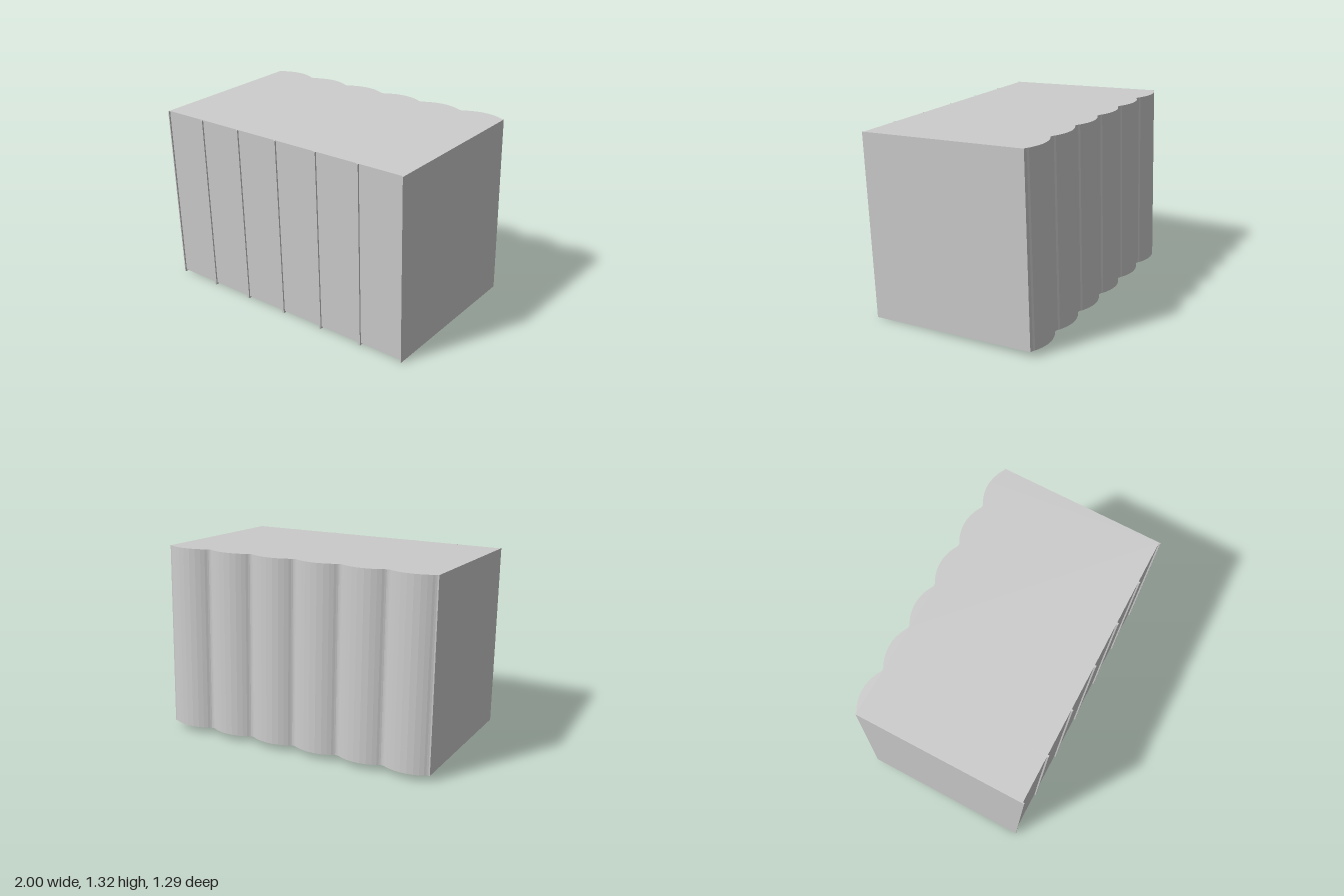
import * as THREE from 'three';

const COUNT = 6, WIDTH = 1.985, HEIGHT = 1.28;
const FRONT = 0.59, BACK = -0.59;
const PITCH = WIDTH / COUNT, BOARD = 0.0075, LIP = 0.014, INSET = 0.011;

// One rounded spine: [position across the spine from -1 to 1, outward bulge]
const half = [[1, 0], [0.94, 0.001], [0.87, 0.006], [0.79, 0.014], [0.62, 0.026], [0.4, 0.037], [0.14, 0.044]];
const profile = [...half.map(([u, h]) => [-u, h]), ...half.slice().reverse()];

// Wavy back line from left to right; shape y points to the back
function spineLine(inset) {
  const points = [];
  for (let i = 0; i < COUNT; i++) {
    const centre = -WIDTH / 2 + PITCH * (i + 0.5);
    profile.forEach(([u, h], k) => {
      if (i > 0 && k === 0) return;
      points.push(new THREE.Vector2(centre + u * PITCH / 2, -BACK + h - inset));
    });
  }
  return points;
}

// Upright solid from a footprint
function upright(points, bottom, top) {
  const geometry = new THREE.ExtrudeGeometry(new THREE.Shape(points), { depth: top - bottom, bevelEnabled: false });
  geometry.rotateX(-Math.PI / 2);
  geometry.translate(0, bottom, 0);
  return geometry;
}

export function createModel() {
  const grey = new THREE.MeshStandardMaterial({ color: 0xcccccc });
  grey.name = 'lightGrey';
  const model = new THREE.Group();
  model.name = 'bookRow';
  const row = new THREE.Group();
  row.name = 'leaningVolumes';
  model.add(row);

  const add = (name, geometry) => {
    const mesh = new THREE.Mesh(geometry, grey);
    mesh.name = name;
    row.add(mesh);
    return mesh;
  };

  // Page block, recessed at the front and underneath
  const edge = WIDTH / 2 - BOARD / 2;
  const inner = spineLine(0.004).map((p) => new THREE.Vector2(THREE.MathUtils.clamp(p.x, -edge, edge), p.y));
  add('pageBlock', upright([
    new THREE.Vector2(-edge, -FRONT + INSET), ...inner, new THREE.Vector2(edge, -FRONT + INSET),
  ], LIP, HEIGHT));

  // Rounded spines with a thin lip below the pages
  add('spines', upright([...spineLine(0), ...spineLine(0.008).reverse()], 0, HEIGHT));

  // Cover boards, doubled where two volumes meet
  for (let i = 0; i <= COUNT; i++) {
    const end = i === 0 || i === COUNT;
    const width = end ? BOARD : BOARD * 2;
    const shift = i === 0 ? BOARD / 2 : i === COUNT ? -BOARD / 2 : 0;
    const board = add('coverBoard', new THREE.BoxGeometry(width, HEIGHT, FRONT - BACK));
    board.position.set(-WIDTH / 2 + PITCH * i + shift, HEIGHT / 2, (FRONT + BACK) / 2);
  }

  // Slight forward lean and turn
  row.rotation.set(0.035, -0.011, 0, 'YXZ');
  row.position.y = 0.021;
  return model;
}
